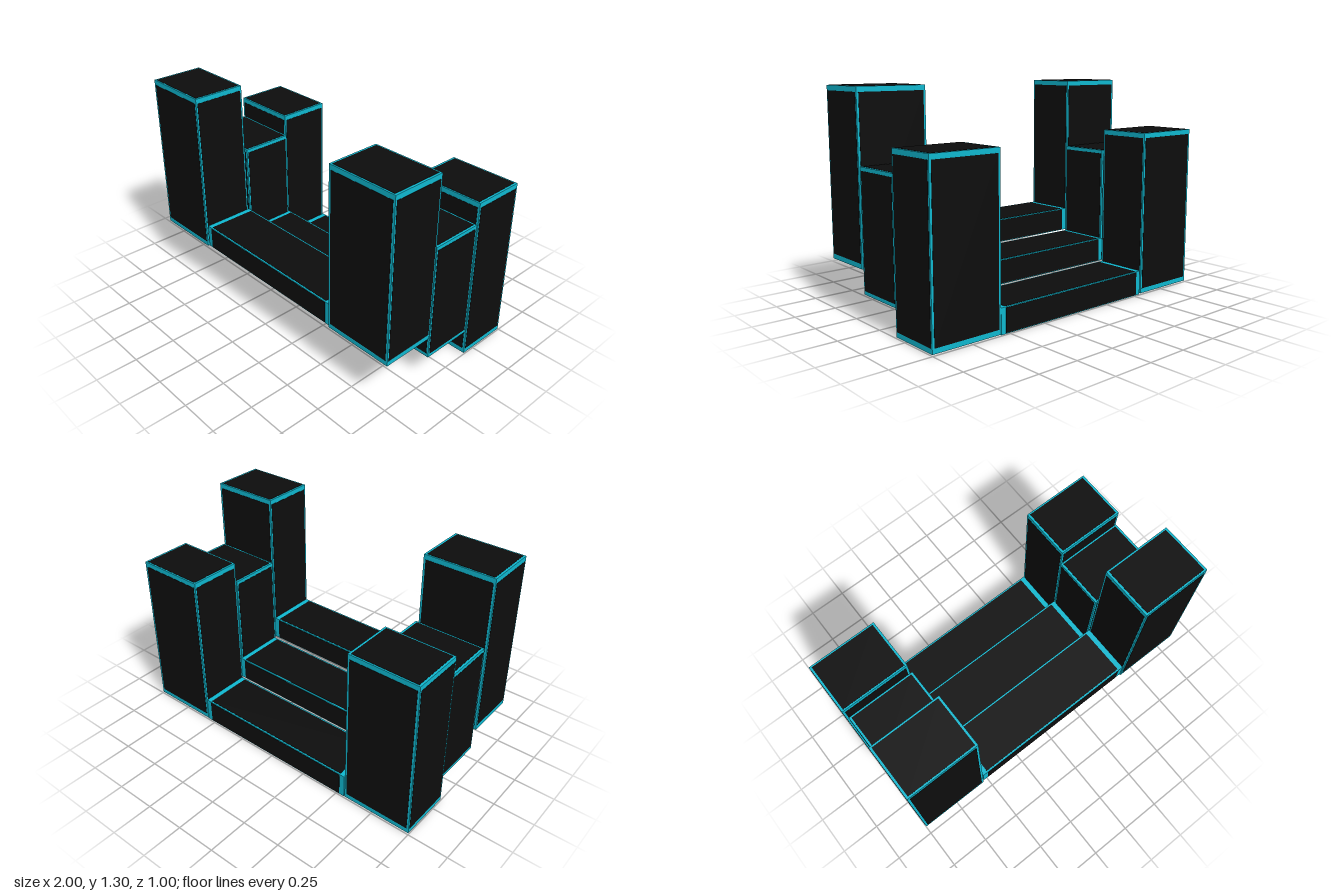
import * as THREE from 'three';
import { mergeGeometries } from 'three/addons/utils/BufferGeometryUtils.js';

const edgeCyan = new THREE.MeshStandardMaterial({ color: 0x0fb8d0 });
edgeCyan.name = 'edge cyan';
const panelBlack = new THREE.MeshStandardMaterial({ color: 0x0d0d0d });
panelBlack.name = 'panel black';

const BORDER = 0.94; // panel share of each face, leaving a 3% rim on every side
const PROUD = 0.003; // total extra thickness of the panels

// Cyan block with a black inset panel on all six faces, from [min, max] ranges
function createBlock(name, x, y, z) {
  const size = [x, y, z].map(([a, b]) => b - a);
  const block = new THREE.Group();
  block.name = name;
  block.position.set((x[0] + x[1]) / 2, (y[0] + y[1]) / 2, (z[0] + z[1]) / 2);

  const frame = new THREE.Mesh(new THREE.BoxGeometry(...size), edgeCyan);
  frame.name = 'edgeFrame';

  // One thin pair of opposite plates per axis
  const plates = [];
  for (let axis = 0; axis < 3; axis++) {
    for (const side of [-1, 1]) {
      const dims = size.map((s, i) => (i === axis ? PROUD : s * BORDER));
      const offset = [0, 0, 0];
      offset[axis] = (side * size[axis]) / 2;
      plates.push(new THREE.BoxGeometry(...dims).translate(...offset));
    }
  }
  const panels = new THREE.Mesh(mergeGeometries(plates), panelBlack);
  panels.name = 'facePanels';

  block.add(frame, panels);
  return block;
}

export function createModel() {
  const model = new THREE.Group();
  model.name = 'steppedBlocks';

  // Each row: a long step between two towers, climbing toward the front
  const rows = [
    { name: 'back', step: [0, 0.15], stepZ: [-0.493, -0.175],
      tower: [0.005, 1.0], towerZ: [-0.495, -0.167], right: [-0.998, -0.56], left: [0.56, 0.998] },
    { name: 'middle', step: [0.157, 0.302], stepZ: [-0.172, 0.15],
      tower: [0.16, 0.87], towerZ: [-0.163, 0.16], right: [-0.987, -0.547], left: [0.556, 0.994] },
    { name: 'front', step: [0.305, 0.448], stepZ: [0.167, 0.49],
      tower: [0.3, 1.297], towerZ: [0.169, 0.497], right: [-0.998, -0.56], left: [0.56, 0.998] },
  ];
  for (const r of rows) {
    model.add(
      createBlock(r.name + 'Step', [-0.552, 0.557], r.step, r.stepZ),
      createBlock(r.name + 'RightTower', r.right, r.tower, r.towerZ),
      createBlock(r.name + 'LeftTower', r.left, r.tower, r.towerZ),
    );
  }
  return model;
}
